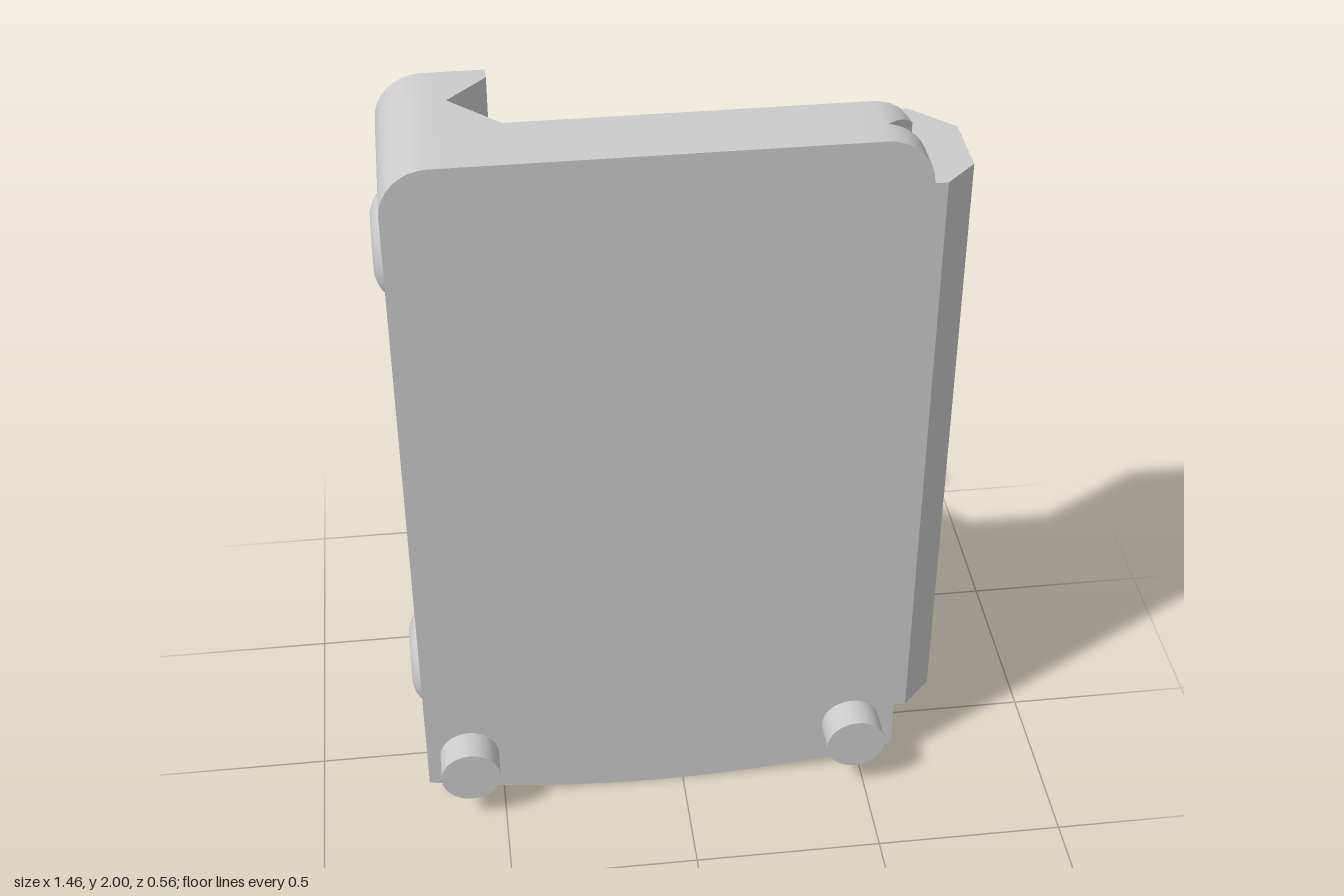
import * as THREE from 'three';
import { toCreasedNormals } from 'three/addons/utils/BufferGeometryUtils.js';

const LEFT = -0.705, RIGHT = 0.59, CORNER = 0.12, BACK = -0.28, FRONT = 0.185;
const BOLT_Y = [0.305, 1.655], BOLT_Z = -0.075, RECESS_R = 0.155, RECESS_DEPTH = 0.07;

// Front outline of the body: rounded upper corners, bowed lower edge
function topY(x) {
  const d = Math.max(LEFT + CORNER - x, x - (RIGHT - CORNER), 0);
  return 2 - CORNER + Math.sqrt(Math.max(0, CORNER * CORNER - d * d));
}
const bottomY = (x) => 0.065 * ((x + 0.0575) / 0.6475) ** 2;

// Body cross-section (x, z), counter to the open left wall
const SECTION = [
  [LEFT, FRONT], [RIGHT, FRONT], [RIGHT, 0.1], [0.49, 0.1], [0.565, 0.02], [0.535, -0.01],
  [-0.405, -0.01], [-0.53, -0.135], [-0.43, -0.24], [-0.43, BACK], [LEFT, BACK],
];
// The same section cut into trapezoids for the end faces: x0, x1, back z0, z1, front z0, z1
const SLABS = [
  [LEFT, -0.53, BACK, BACK, FRONT, FRONT],
  [-0.53, -0.43, BACK, BACK, -0.135, -0.24],
  [-0.53, -0.405, -0.135, -0.01, FRONT, FRONT],
  [-0.405, 0.49, -0.01, -0.01, FRONT, FRONT],
  [0.49, 0.535, -0.01, -0.01, 0.1, 0.052],
  [0.535, 0.565, -0.01, 0.02, 0.052, 0.02],
  [0.49, RIGHT, 0.1, 0.1, FRONT, FRONT],
];

// x positions where the curved outline is sampled
const SAMPLES = [];
for (let i = 0; i <= 8; i++) {
  const d = CORNER * (1 - Math.cos((i / 8) * Math.PI / 2));
  SAMPLES.push(LEFT + d, RIGHT - d);
}
for (let i = 1; i < 12; i++) SAMPLES.push(LEFT + CORNER + (i / 12) * (RIGHT - LEFT - 2 * CORNER));

// Positions from 0 to 1 along a span, split at the samples
function splits(x0, x1) {
  const inner = SAMPLES.map((x) => (x - x0) / (x1 - x0)).filter((t) => t > 1e-4 && t < 1 - 1e-4);
  return [0, ...inner.sort((a, b) => a - b), 1];
}

function bodyGeometry() {
  const pos = [];
  const quad = (a, b, c, d) => pos.push(...a, ...b, ...c, ...a, ...c, ...d);
  const lerp = THREE.MathUtils.lerp;
  // upright walls
  for (let i = 0; i + 1 < SECTION.length; i++) {
    const [ax, az] = SECTION[i], [bx, bz] = SECTION[i + 1];
    const ts = ax === bx ? [0, 1] : splits(ax, bx);
    for (let k = 0; k + 1 < ts.length; k++) {
      const [x0, x1] = [lerp(ax, bx, ts[k]), lerp(ax, bx, ts[k + 1])];
      const [z0, z1] = [lerp(az, bz, ts[k]), lerp(az, bz, ts[k + 1])];
      quad([x0, bottomY(x0), z0], [x1, bottomY(x1), z1], [x1, topY(x1), z1], [x0, topY(x0), z0]);
    }
  }
  // upper and lower ends
  for (const [xa, xb, ba, bb, fa, fb] of SLABS) {
    const ts = splits(xa, xb);
    for (let k = 0; k + 1 < ts.length; k++) {
      const [s, t] = [ts[k], ts[k + 1]];
      const corners = [[s, fa, fb], [t, fa, fb], [t, ba, bb], [s, ba, bb]]
        .map(([u, za, zb]) => [lerp(xa, xb, u), lerp(za, zb, u)]);
      quad(...corners.map(([x, z]) => [x, topY(x), z]));
      quad(...corners.reverse().map(([x, z]) => [x, bottomY(x), z]));
    }
  }
  const geo = new THREE.BufferGeometry();
  geo.setAttribute('position', new THREE.Float32BufferAttribute(pos, 3));
  return toCreasedNormals(geo, 0.5);
}

// Left wall with round openings, drawn in (z, y) and turned to face -x
function sideWallGeometry() {
  const [lo, hi] = [bottomY(LEFT), topY(LEFT)];
  const shape = new THREE.Shape([[BACK, lo], [FRONT, lo], [FRONT, hi], [BACK, hi]]
    .map(([z, y]) => new THREE.Vector2(z, y)));
  for (const y of BOLT_Y) {
    shape.holes.push(new THREE.Path().absarc(BOLT_Z, y, RECESS_R, 0, Math.PI * 2, true));
  }
  return new THREE.ShapeGeometry(shape, 20).rotateY(-Math.PI / 2).translate(LEFT, 0, 0);
}

export function createModel() {
  const model = new THREE.Group();
  const grey = new THREE.MeshStandardMaterial({ color: 0xcccccc });
  const open = new THREE.MeshStandardMaterial({ color: 0xcccccc, side: THREE.DoubleSide });
  const add = (name, geo, mat = grey, parent = model) => {
    const mesh = new THREE.Mesh(geo, mat);
    mesh.name = name;
    parent.add(mesh);
    return mesh;
  };

  // Body with its fixed jaw
  const body = new THREE.Group();
  body.name = 'body';
  model.add(body);
  add('plateAndFixedJaw', bodyGeometry(), grey, body);
  add('sideWall', sideWallGeometry(), open, body);

  // Movable jaw, hooked over the edge of the plate
  const jaw = new THREE.Shape([
    [0.31, -0.27], [0.62, -0.27], [0.725, -0.165], [0.725, 0.02],
    [0.645, 0.1], [0.49, 0.1], [0.565, 0.02], [0.31, -0.24],
  ].map(([x, z]) => new THREE.Vector2(x, -z)));
  add('movableJaw', new THREE.ExtrudeGeometry(jaw, { depth: 1.7, bevelEnabled: false })
    .rotateX(-Math.PI / 2).translate(0, 0.13, 0));

  // Cross bolts: rod, domed head and the recess around it
  const headProfile = [[0.127, 0], [0.127, 0.067], [0.117, 0.08], [0.1, 0.09], [0.08, 0.097], [0, 0.097]]
    .map(([r, h]) => new THREE.Vector2(r, h));
  const floorX = LEFT + RECESS_DEPTH;
  for (const y of BOLT_Y) {
    const bolt = new THREE.Group();
    bolt.name = 'crossBolt';
    bolt.position.set(0, y, BOLT_Z);
    model.add(bolt);
    add('rod', new THREE.CylinderGeometry(0.07, 0.07, 1.16, 32)
      .rotateZ(Math.PI / 2).translate(-0.02, 0, 0), grey, bolt);
    add('boltHead', toCreasedNormals(new THREE.LatheGeometry(headProfile, 40), 0.5)
      .rotateZ(Math.PI / 2).translate(floorX, 0, 0), open, bolt);
    add('recessWall', new THREE.CylinderGeometry(RECESS_R, RECESS_R, RECESS_DEPTH, 40, 1, true)
      .rotateZ(Math.PI / 2).translate(LEFT + RECESS_DEPTH / 2, 0, 0), open, bolt);
    add('recessFloor', new THREE.CircleGeometry(RECESS_R, 40)
      .rotateY(-Math.PI / 2).translate(floorX, 0, 0), open, bolt);
  }

  // Short pegs on the front
  for (const x of [-0.59, 0.47]) {
    add('frontPeg', new THREE.CylinderGeometry(0.08, 0.08, 0.1, 32).rotateX(Math.PI / 2))
      .position.set(x, 0.16, 0.225);
  }
  return model;
}
